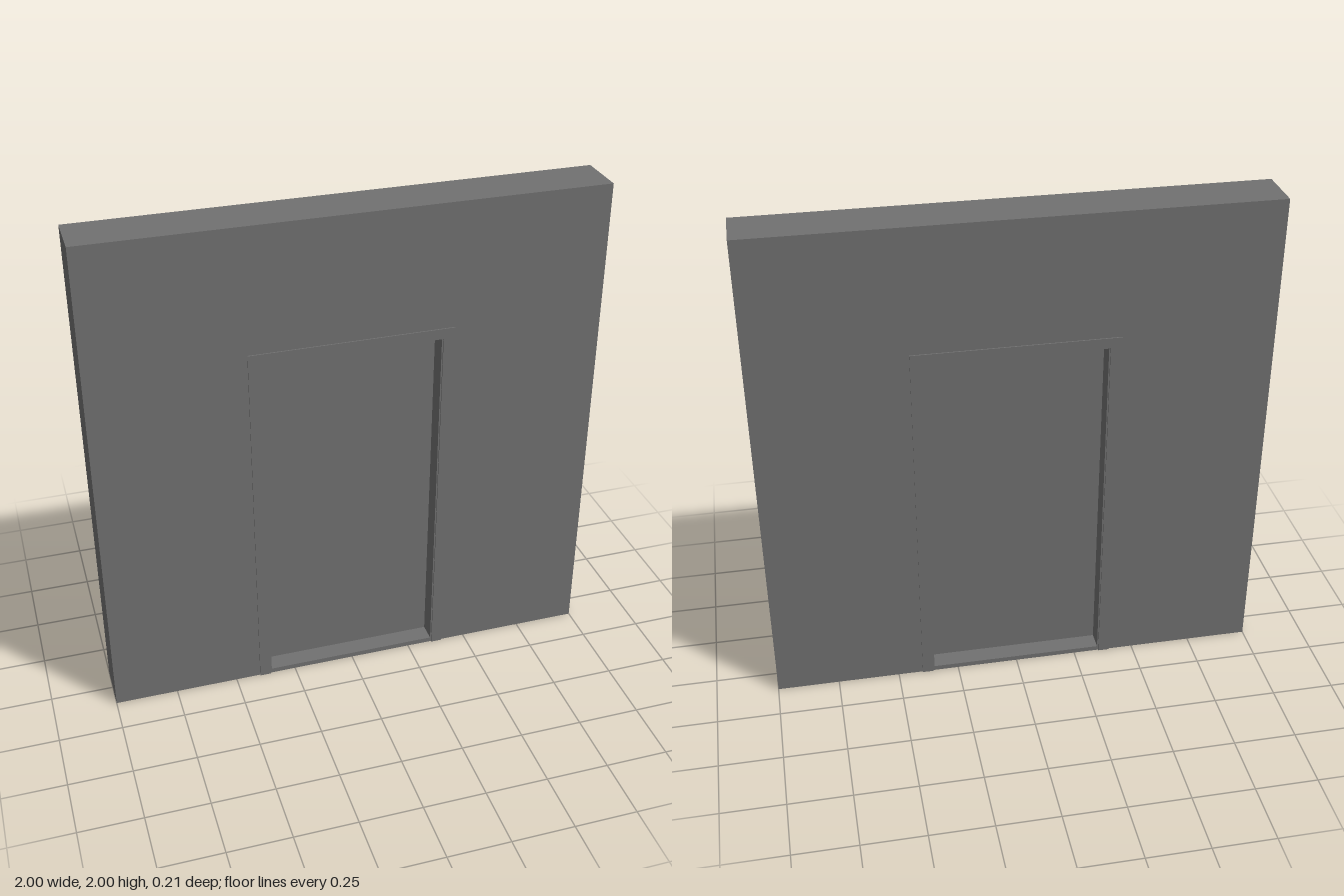
import * as THREE from 'three';

const WALL_DEPTH = 0.2;
const FRAME_DEPTH = 0.21;
const OUTER = { half: 0.4, top: 1.5 };
const TRIM = { half: 0.355, top: 1.459 };
const INNER = { half: 0.35, top: 1.455 };

// Upside-down U outline standing on y = 0, extruded and centred in z
function archway(outer, inner, depth) {
  const shape = new THREE.Shape([
    [-outer.half, 0], [-inner.half, 0], [-inner.half, inner.top], [inner.half, inner.top],
    [inner.half, 0], [outer.half, 0], [outer.half, outer.top], [-outer.half, outer.top],
  ].map(([x, y]) => new THREE.Vector2(x, y)));
  return new THREE.ExtrudeGeometry(shape, { depth, bevelEnabled: false })
    .translate(0, 0, -depth / 2);
}

export function createModel() {
  const group = new THREE.Group();
  const material = new THREE.MeshStandardMaterial({ color: 0x717171 });
  const add = (name, geometry) => {
    const mesh = new THREE.Mesh(geometry, material);
    mesh.name = name;
    group.add(mesh);
    return mesh;
  };

  // Wall with the doorway cut out
  add('wall', archway({ half: 1, top: 2 }, OUTER, WALL_DEPTH));

  // Door frame standing slightly proud of both wall faces, with a thin jamb lining
  add('doorFrame', archway(OUTER, TRIM, FRAME_DEPTH));
  add('jambLining', archway(TRIM, INNER, WALL_DEPTH));

  // Low threshold, flush with the wall
  const sillHeight = 0.02;
  add('threshold', new THREE.BoxGeometry(INNER.half * 2, sillHeight, WALL_DEPTH))
    .position.y = sillHeight / 2;

  // Plain door leaf in the middle of the wall's thickness
  const doorHeight = INNER.top - sillHeight;
  add('door', new THREE.BoxGeometry(INNER.half * 2, doorHeight, 0.05))
    .position.y = sillHeight + doorHeight / 2;

  return group;
}
